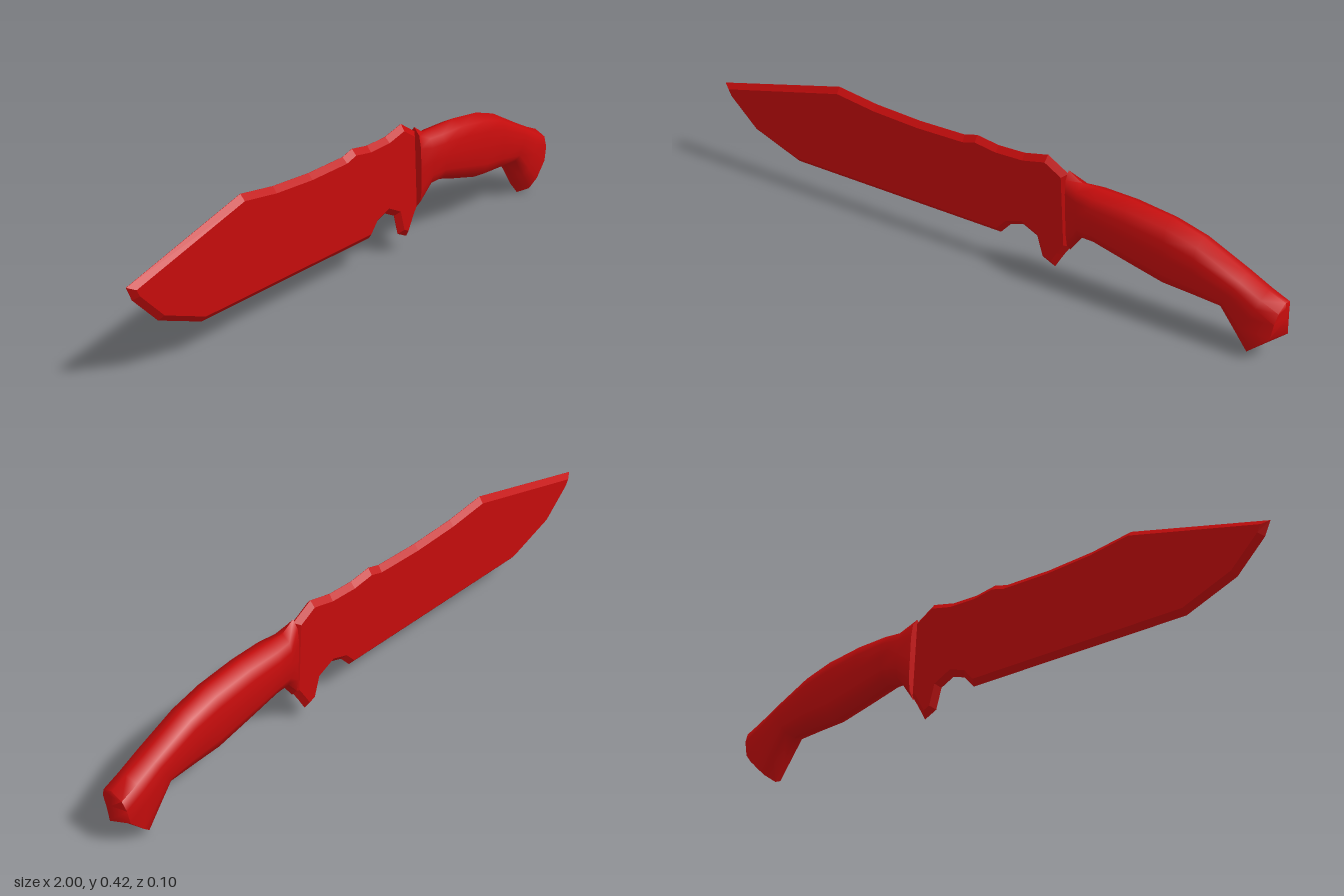
import * as THREE from 'three';
import { toCreasedNormals } from 'three/addons/utils/BufferGeometryUtils.js';

const red = new THREE.MeshStandardMaterial({ color: 0xc40c0c });

// Flat plate with a bevel running to a ridge on the centre plane
function makeBlade() {
  const outline = [
    [-1, 0.305], [-0.98, 0.262], [-0.885, 0.17], [-0.715, 0.105], [0.05, 0.105],
    [0.085, 0.145], [0.13, 0.16], [0.178, 0.137], [0.198, 0.07], [0.242, 0.05],
    [0.27, 0.1], [0.295, 0.14], [0.28, 0.385], [0.21, 0.427], [0.13, 0.408],
    [0.04, 0.405], [-0.035, 0.416], [-0.08, 0.403], [-0.24, 0.4], [-0.4, 0.408],
    [-0.54, 0.427],
  ].map(([x, y]) => new THREE.Vector2(x, y));
  const geometry = new THREE.ExtrudeGeometry(new THREE.Shape(outline), {
    depth: 0.001, bevelEnabled: true, bevelSegments: 1,
    bevelThickness: 0.015, bevelSize: 0.018, bevelOffset: -0.018,
  });
  geometry.translate(0, 0, -0.0005);
  return new THREE.Mesh(geometry, red);
}

// Grip lofted through slanted sections, each spanning a top and a bottom point
function makeHandle() {
  // top x, top y, bottom x, bottom y, half width, bulge towards the butt
  const stations = [
    [0.28, 0.398, 0.292, 0.128, 0, 0],
    [0.28, 0.398, 0.292, 0.128, 0.025, 0],
    [0.325, 0.37, 0.335, 0.19, 0.04, 0],
    [0.38, 0.37, 0.39, 0.195, 0.05, 0],
    [0.49, 0.37, 0.5, 0.165, 0.05, 0],
    [0.62, 0.355, 0.62, 0.135, 0.05, 0],
    [0.72, 0.325, 0.71, 0.133, 0.05, 0],
    [0.86, 0.255, 0.8, 0.133, 0.05, 0],
    [0.93, 0.222, 0.845, 0.062, 0.05, 0.015],
    [0.985, 0.2, 0.88, 0.003, 0.05, 0.036],
    [0.985, 0.2, 0.88, 0.003, 0, 0.067],
  ];
  // section: fraction from top to bottom, share of the half width
  const front = [[0, 0], [0.09, 0.75], [0.25, 1], [0.5, 1], [0.75, 1], [0.91, 0.75], [1, 0]];
  const back = front.slice(1, -1).reverse().map(([t, w]) => [t, -w]);
  const section = [...front, ...back];
  const n = section.length;

  const positions = [];
  for (const [tx, ty, bx, by, half, bulge] of stations) {
    for (const [t, w] of section) {
      positions.push(
        tx + (bx - tx) * t + bulge * (1 - Math.abs(2 * t - 1)),
        ty + (by - ty) * t,
        half * w,
      );
    }
  }
  const index = [];
  for (let i = 0; i < stations.length - 1; i++) {
    for (let j = 0; j < n; j++) {
      const a = i * n + j, c = i * n + (j + 1) % n;
      index.push(a, c, a + n, a + n, c, c + n);
    }
  }
  const geometry = new THREE.BufferGeometry();
  geometry.setAttribute('position', new THREE.Float32BufferAttribute(positions, 3));
  geometry.setIndex(index);
  return new THREE.Mesh(toCreasedNormals(geometry, 1.1), red);
}

export function createModel() {
  const model = new THREE.Group();
  model.name = 'knife';
  const blade = makeBlade();
  blade.name = 'blade';
  const handle = makeHandle();
  handle.name = 'handle';
  model.add(blade, handle);
  return model;
}
